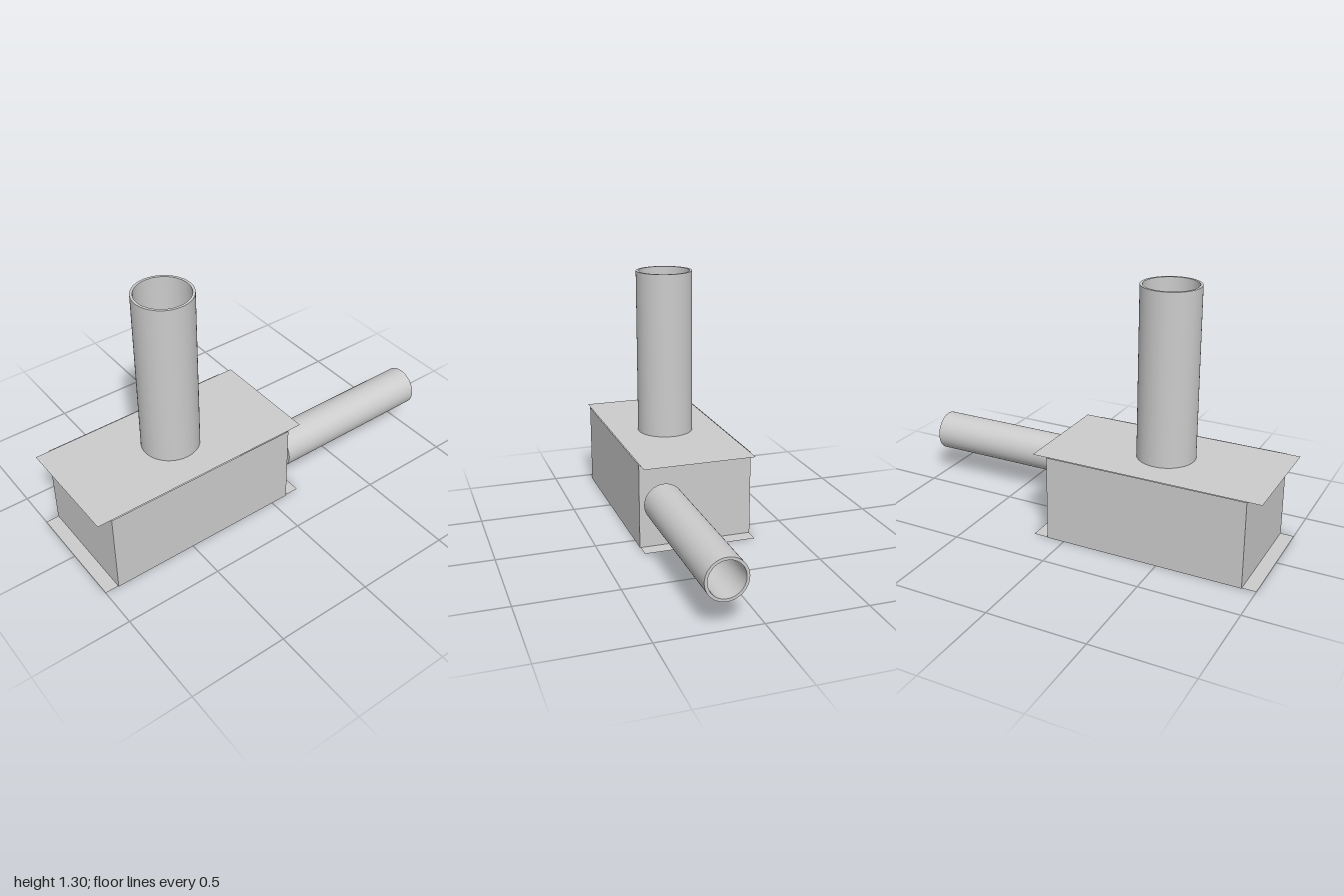
import * as THREE from 'three';

const material = new THREE.MeshStandardMaterial({ color: 0xcccccc, side: THREE.DoubleSide });

function addMesh(parent, name, geometry, x, y, z) {
  const mesh = new THREE.Mesh(geometry, material);
  mesh.name = name;
  mesh.position.set(x, y, z);
  parent.add(mesh);
  return mesh;
}

// Hollow tube standing on its origin, with ring-shaped ends
function tubeGeometry(outer, inner, length) {
  const shape = new THREE.Shape().absarc(0, 0, outer, 0, Math.PI * 2, false);
  shape.holes.push(new THREE.Path().absarc(0, 0, inner, 0, Math.PI * 2, true));
  return new THREE.ExtrudeGeometry(shape, { depth: length, bevelEnabled: false, curveSegments: 48 });
}

export function createModel() {
  const model = new THREE.Group();
  const halfWidth = 0.294, height = 0.44, front = 0.93, back = -0.092;
  const depth = front - back, midZ = (front + back) / 2;

  // Four thin walls of the body
  const walls = new THREE.Group();
  walls.name = 'bodyWalls';
  model.add(walls);
  for (const side of [1, -1]) {
    const wall = addMesh(walls, side > 0 ? 'leftWall' : 'rightWall',
      new THREE.PlaneGeometry(depth, height), side * halfWidth, height / 2, midZ);
    wall.rotation.y = side * Math.PI / 2;
    const end = addMesh(walls, side > 0 ? 'frontWall' : 'backWall',
      new THREE.PlaneGeometry(halfWidth * 2, height), 0, height / 2, side > 0 ? front : back);
    end.rotation.y = side > 0 ? 0 : Math.PI;
  }

  // Thin plates overhanging the body at both ends
  for (const [name, y, tilt] of [['topPlate', height, -1], ['bottomPlate', 0, 1]]) {
    const plate = addMesh(model, name, new THREE.PlaneGeometry(0.58, 1.17), 0, y, 0.415);
    plate.rotation.x = tilt * Math.PI / 2;
  }

  // Upright pipe on the top plate
  const chimney = addMesh(model, 'uprightPipe', tubeGeometry(0.146, 0.133, 1.3 - height), 0, height, 0.415);
  chimney.rotation.x = -Math.PI / 2;

  // Horizontal pipe behind the body, with a small collar in the gap
  addMesh(model, 'rearPipe', tubeGeometry(0.102, 0.088, 0.88), 0.175, 0.235, -1);
  const collar = addMesh(model, 'rearCollar',
    new THREE.CylinderGeometry(0.087, 0.087, 0.013, 48), 0.175, 0.235, -0.0985);
  collar.rotation.x = Math.PI / 2;

  return model;
}
